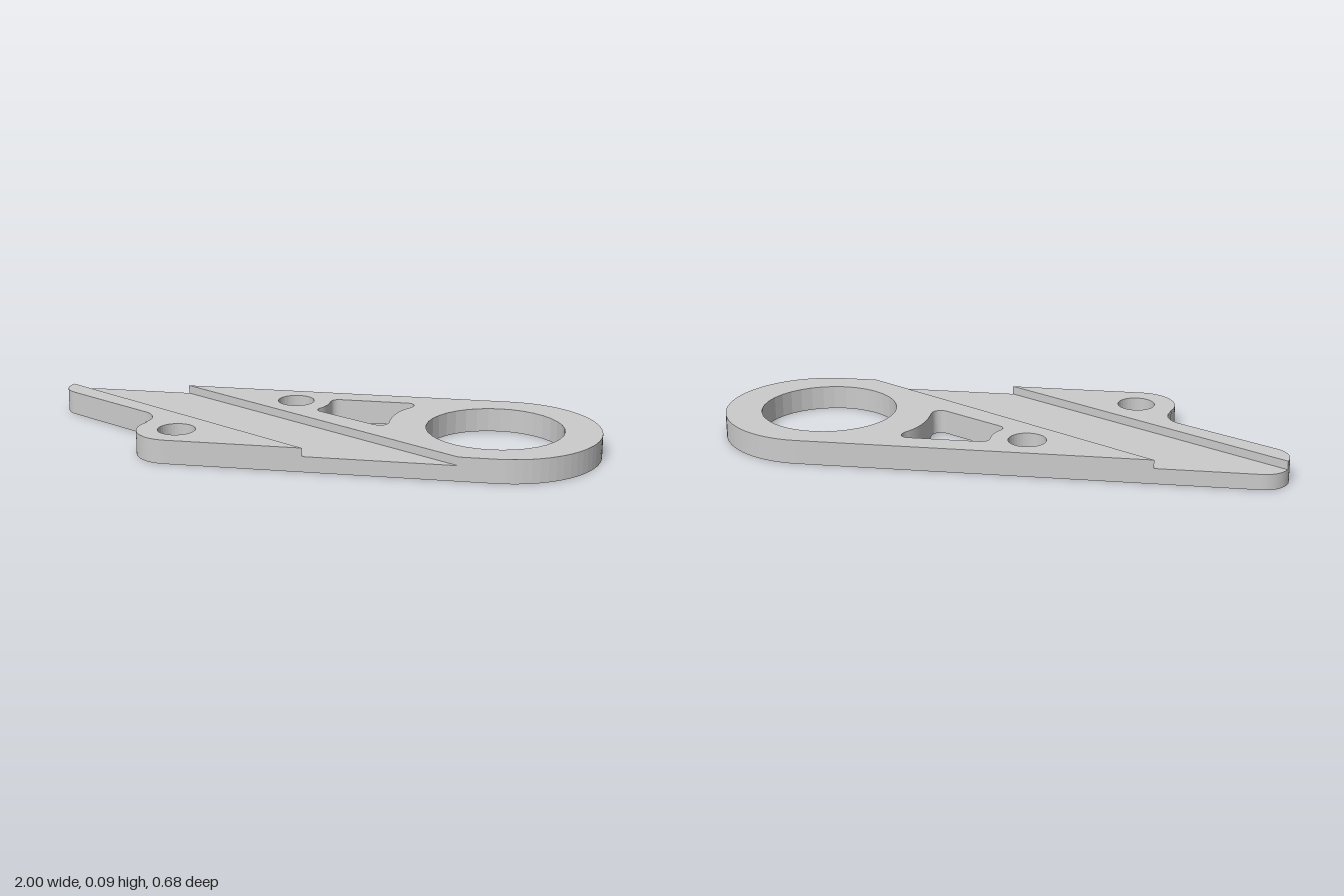
import * as THREE from 'three';

const FLOOR = 0.055, TOP = 0.085, HALF = 0.34; // channel floor, plate top, half width
const rad = THREE.MathUtils.degToRad;

const circle = (x, y, r) => new THREE.Path().absarc(x, y, r, 0, Math.PI * 2, false);

// Rounded triangular window
function windowHole() {
  const p = new THREE.Path();
  p.moveTo(0.01, 0.217);
  p.quadraticCurveTo(0.01, 0.254, 0.045, 0.254);
  p.lineTo(0.29, 0.254);
  p.bezierCurveTo(0.312, 0.254, 0.33, 0.23, 0.305, 0.195);
  p.quadraticCurveTo(0.253, 0.13, 0.257, 0);
  p.bezierCurveTo(0.255, -0.035, 0.225, -0.043, 0.2, -0.026);
  p.lineTo(-0.005, 0.094);
  p.quadraticCurveTo(-0.03, 0.112, -0.008, 0.14);
  p.quadraticCurveTo(0.01, 0.17, 0.01, 0.217);
  return p;
}

// Left edge: rounded tip, sloping side, concave fillet, round boss
function leftEdge(s, tipStart) {
  s.absarc(-0.91, 0.25, 0.09, rad(tipStart), rad(239), false);
  s.absarc(-0.667, -0.105, 0.09, rad(59), rad(-27.7), true);
  s.absarc(-0.467, -0.21, 0.13, rad(152.3), rad(270), false);
}

const rightEnd = (s) => s.absarc(0.66, 0, HALF, rad(-90), rad(90), false);

const bossHole = () => circle(-0.457, -0.21, 0.066);
const rightHoles = () => [circle(0.63, 0, 0.241), circle(-0.117, 0.215, 0.066), windowHole()];

export function createModel() {
  const group = new THREE.Group();
  const material = new THREE.MeshStandardMaterial({ color: 0xcccccc });

  // Extrude a plan shape (its y is -z) between two heights
  function slab(name, shape, y0, y1) {
    const geo = new THREE.ExtrudeGeometry(shape, { depth: y1 - y0, bevelEnabled: false, curveSegments: 18 });
    geo.rotateX(-Math.PI / 2).translate(0, y0, 0);
    const mesh = new THREE.Mesh(geo, material);
    mesh.name = name;
    group.add(mesh);
  }

  // Full-outline plate up to the channel floor
  const base = new THREE.Shape();
  leftEdge(base, 90);
  rightEnd(base);
  base.closePath();
  base.holes.push(bossHole(), ...rightHoles());
  slab('basePlate', base, 0, FLOOR);

  // Raised land on the boss side of the diagonal channel
  const left = new THREE.Shape();
  leftEdge(left, 157.6);
  left.lineTo(0.012, -HALF);
  left.closePath();
  left.holes.push(bossHole());
  slab('bossLand', left, FLOOR, TOP);

  // Raised land around the ring, window and small hole
  const right = new THREE.Shape();
  right.moveTo(-0.557, HALF);
  right.lineTo(0.535, -HALF);
  rightEnd(right);
  right.closePath();
  right.holes.push(...rightHoles());
  slab('ringLand', right, FLOOR, TOP);

  return group;
}
